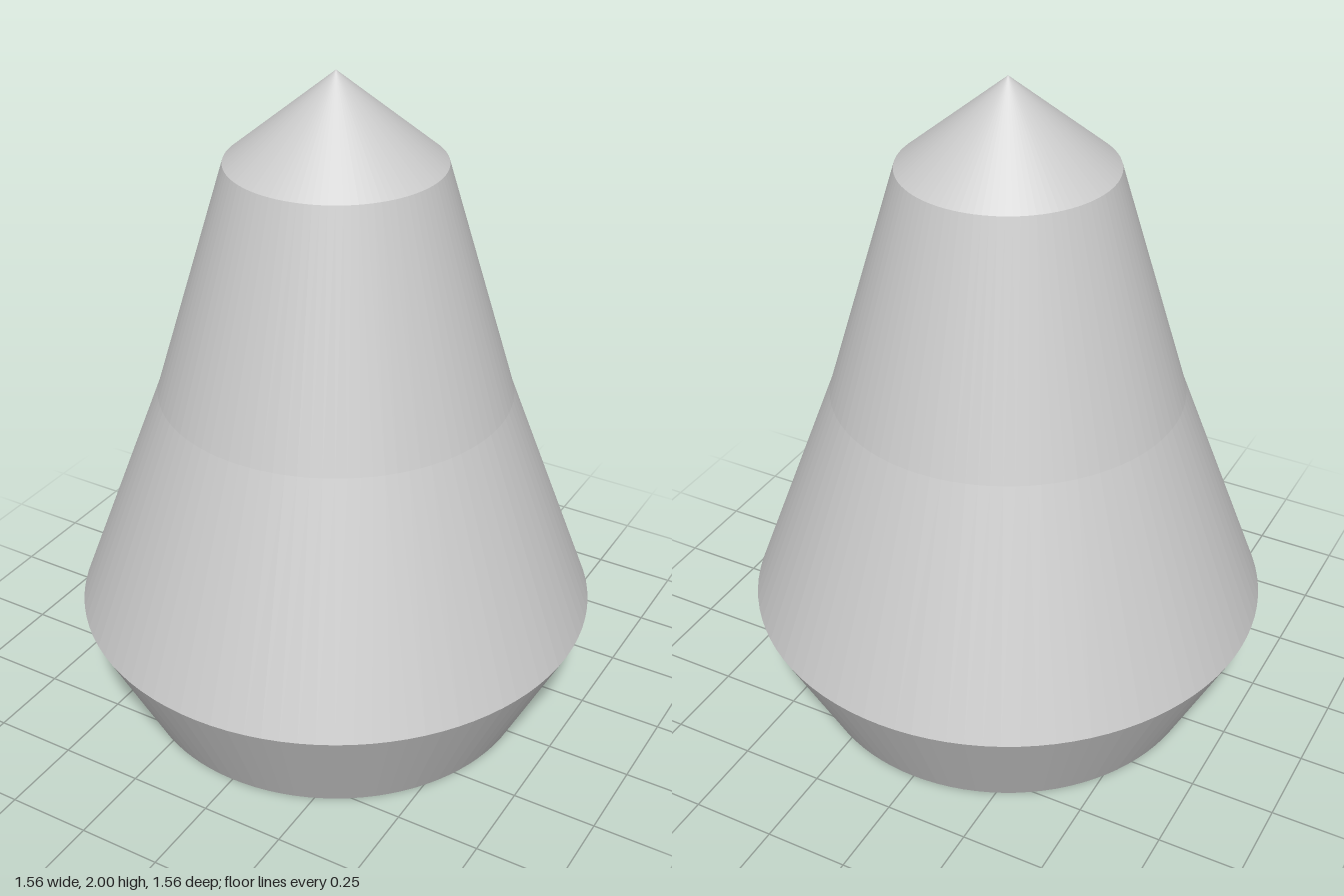
import * as THREE from 'three';

const SIDES = 96;

export function createModel() {
  const model = new THREE.Group();
  model.name = 'taperedCone';
  const material = new THREE.MeshStandardMaterial({ color: 0xcccccc, flatShading: true });

  // Stacked conical sections: name, bottom radius, top radius, bottom y, top y
  const sections = [
    ['flaredBase', 0.607, 0.78, 0, 0.35],
    ['lowerBody', 0.78, 0.52, 0.35, 1.045],
    ['upperBody', 0.52, 0.312, 1.045, 1.742],
    ['pointedTip', 0.312, 0, 1.742, 2],
  ];
  for (const [name, r0, r1, y0, y1] of sections) {
    const geometry = new THREE.CylinderGeometry(r1, r0, y1 - y0, SIDES, 1, true);
    const mesh = new THREE.Mesh(geometry, material);
    mesh.name = name;
    mesh.position.y = (y0 + y1) / 2;
    model.add(mesh);
  }

  // Flat underside, matching the ring of the base
  const underside = new THREE.Mesh(new THREE.CircleGeometry(0.607, SIDES), material);
  underside.name = 'underside';
  underside.rotation.x = Math.PI / 2;
  model.add(underside);

  return model;
}
